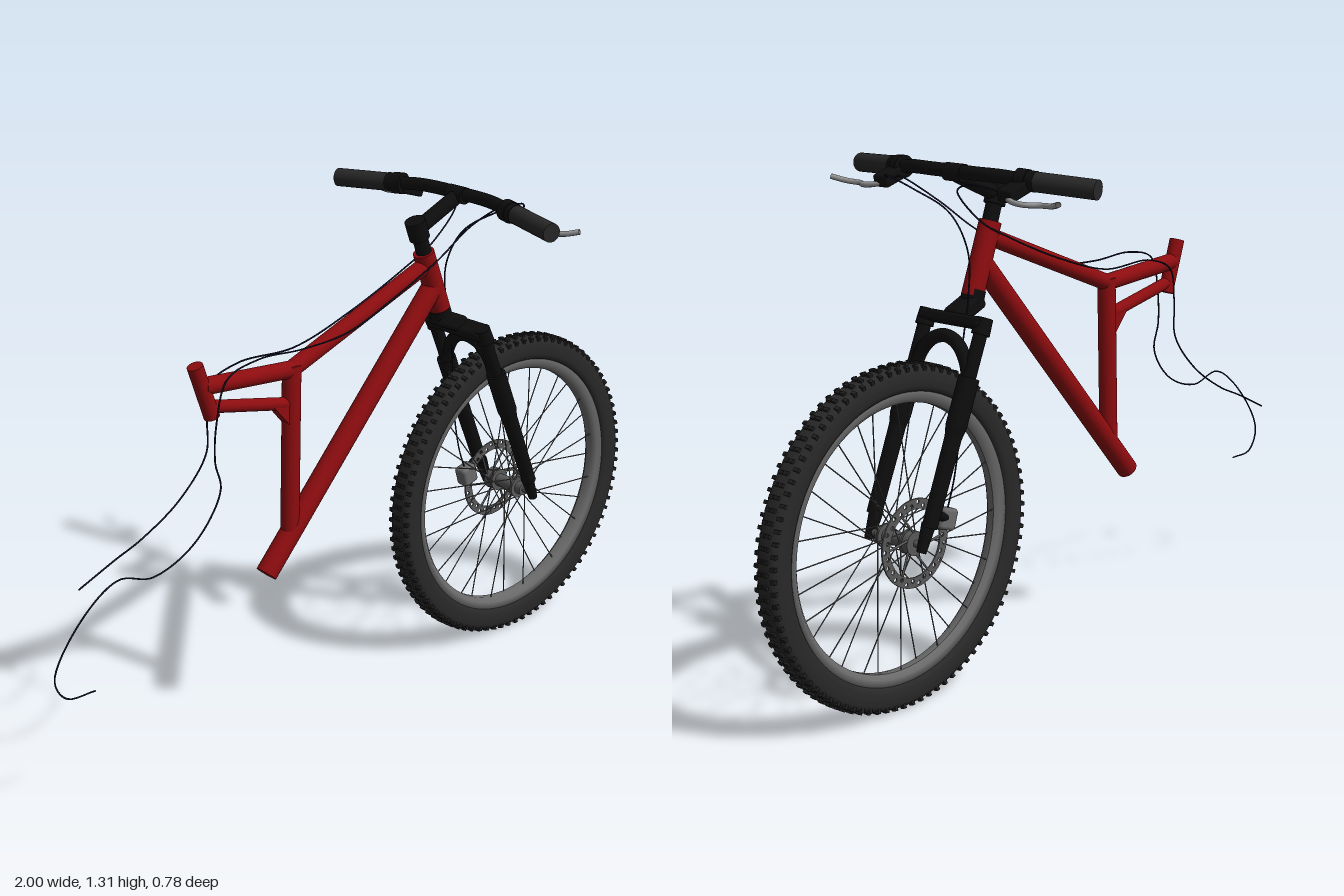
import * as THREE from 'three';
import { mergeGeometries } from 'three/addons/utils/BufferGeometryUtils.js';
import { RoundedBoxGeometry } from 'three/addons/geometries/RoundedBoxGeometry.js';

const mat = (color) => new THREE.MeshStandardMaterial({ color, side: THREE.DoubleSide });
const red = mat(0x8c0c0f), black = mat(0x0d0d0d), rubber = mat(0x282828), tread = mat(0x1e1e1e);
const rimGrey = mat(0x6a6a6a), steel = mat(0x585858), silver = mat(0x999999), cableMat = mat(0x14142a);
const V = (p) => new THREE.Vector3(...p);

export function createModel() {
  const model = new THREE.Group();
  const add = (name, geometry, material, parent = model) => {
    const mesh = new THREE.Mesh(geometry, material);
    mesh.name = name;
    parent.add(mesh);
    return mesh;
  };
  // Straight round bar from a to b
  const barGeo = (a, b, r1, r2 = r1, sides = 24) => {
    const A = V(a), B = V(b), d = B.clone().sub(A);
    const g = new THREE.CylinderGeometry(r2, r1, d.length(), sides);
    g.applyQuaternion(new THREE.Quaternion().setFromUnitVectors(V([0, 1, 0]), d.clone().normalize()));
    const m = A.add(B).multiplyScalar(0.5);
    return g.translate(m.x, m.y, m.z);
  };
  const bar = (name, a, b, r, material, r2 = r) => add(name, barGeo(a, b, r, r2), material);
  // Smooth bent tube through points
  const bent = (name, pts, r, material, seg = 60, sides = 12) =>
    add(name, new THREE.TubeGeometry(new THREE.CatmullRomCurve3(pts.map(V)), seg, r, sides), material);
  const box = (name, size, pos, tilt, material, radius = 0.006) => {
    const m = add(name, new RoundedBoxGeometry(...size, 2, radius), material);
    m.position.set(...pos);
    m.rotation.z = tilt;
  };

  // ---- Frame ----
  bar('headTube', [0.232, 1.155, 0], [0.298, 0.98, 0], 0.028, red);
  bar('topTube', [0.24, 1.12, 0], [-0.215, 0.942, 0], 0.022, red);
  bar('downTube', [0.268, 1.06, 0], [-0.305, 0.42, 0], 0.028, red);
  bar('seatTube', [-0.213, 0.955, 0], [-0.226, 0.5, 0], 0.024, red);
  bar('rearUpperTube', [-0.21, 0.942, 0], [-0.49, 0.962, 0], 0.022, red);
  bar('rearLowerTube', [-0.22, 0.855, 0], [-0.475, 0.908, 0], 0.016, red);
  bar('seatClampTube', [-0.512, 1.018, 0], [-0.465, 0.88, 0], 0.02, red);
  const gusset = new THREE.Shape([[-0.285, 0.865], [-0.215, 0.85], [-0.22, 0.78], [-0.238, 0.81]]
    .map((p) => new THREE.Vector2(...p)));
  add('seatTubeGusset', new THREE.ExtrudeGeometry(gusset, { depth: 0.03, bevelEnabled: false })
    .translate(0, 0, -0.015), red);

  // ---- Steerer and stem ----
  bar('headsetSpacers', [0.205, 1.235, 0], [0.235, 1.15, 0], 0.02, black);
  bar('stemClamp', [0.2, 1.243, 0], [0.218, 1.195, 0], 0.027, black);
  bar('stem', [0.215, 1.222, 0], [0.345, 1.28, 0], 0.02, black);
  bar('barClamp', [0.352, 1.286, -0.028], [0.352, 1.286, 0.028], 0.022, black);
  bar('lowerHeadsetCup', [0.291, 0.995, 0], [0.302, 0.965, 0], 0.029, black);

  // ---- Handlebar, grips, levers ----
  const half = [[0.29, 1.272, 0.385], [0.333, 1.283, 0.2], [0.346, 1.288, 0.14], [0.354, 1.289, 0.08]];
  const flip = ([x, y, z]) => [x, y, -z];
  bent('handlebar', [...half, [0.354, 1.289, 0], ...half.map(flip).reverse()], 0.017, black, 80, 16);
  for (const s of [1, -1]) {
    const P = (x, y, z) => [x, y, s * z];
    bar('grip', P(0.288, 1.272, 0.386), P(0.327, 1.281, 0.228), 0.024, rubber);
    bar('gripCollar', P(0.326, 1.281, 0.232), P(0.331, 1.282, 0.21), 0.025, black);
    bar('leverClamp', P(0.331, 1.281, 0.212), P(0.337, 1.283, 0.185), 0.028, black);
    box('leverBody', [0.075, 0.032, 0.045], P(0.37, 1.262, 0.202), -0.3, black);
    bent('brakeLever', [P(0.388, 1.252, 0.19), P(0.405, 1.243, 0.225), P(0.405, 1.239, 0.26),
      P(0.382, 1.238, 0.295), P(0.39, 1.241, 0.335), P(0.408, 1.25, 0.37)], 0.007, silver, 30, 10);
  }

  // ---- Suspension fork ----
  const legX = (y) => 0.36 + (0.935 - y) * 0.416;
  box('forkCrown', [0.055, 0.028, 0.2], [0.36, 0.932, 0], 0.39, black, 0.01);
  box('crownBridge', [0.1, 0.045, 0.055], [0.325, 0.955, 0], -0.4, black, 0.012);
  for (const s of [1, -1]) {
    const leg = (name, y1, y2, r1, r2, z = 0.093) =>
      bar(name, [legX(y1), y1, s * z], [legX(y2), y2, s * z], r1, black, r2);
    leg('crownCap', 0.908, 0.946, 0.023, 0.021);
    leg('stanchion', 0.78, 0.94, 0.017, 0.017);
    leg('lowerLegCollar', 0.7, 0.81, 0.026, 0.026);
    leg('lowerLegShoulder', 0.67, 0.7, 0.02, 0.026);
    leg('lowerLeg', 0.47, 0.68, 0.019, 0.021);
    leg('dropout', 0.413, 0.48, 0.012, 0.018, 0.088);
  }
  bent('forkArch', [[0.412, 0.78, 0.09], [0.405, 0.84, 0.078], [0.398, 0.883, 0.045], [0.394, 0.898, 0],
    [0.398, 0.883, -0.045], [0.405, 0.84, -0.078], [0.412, 0.78, -0.09]], 0.017, black, 40);

  // ---- Front wheel, built about its own axle ----
  const wheel = new THREE.Group();
  wheel.name = 'frontWheel';
  wheel.position.set(0.57, 0.43, 0);
  model.add(wheel);
  const ring = (name, profile, material) => add(name, new THREE.LatheGeometry(
    [...profile, profile[0]].map((p) => new THREE.Vector2(...p)), 96).rotateX(Math.PI / 2), material, wheel);
  const tyre = [];
  for (let i = 0; i < 24; i++) {
    const a = -Math.PI / 2 + (i / 24) * Math.PI * 2;
    const soft = (v) => Math.sign(v) * Math.abs(v) ** 0.65;
    tyre.push([0.389 + 0.034 * soft(Math.cos(a)), 0.034 * soft(Math.sin(a))]);
  }
  ring('tyre', tyre, rubber);
  ring('rim', [[0.331, -0.01], [0.342, -0.022], [0.366, -0.025], [0.366, 0.025], [0.342, 0.022], [0.331, 0.01]], rimGrey);

  // Low, closely set tread blocks: centre pairs alternating with shoulder pairs
  const knobs = [];
  for (let i = 0; i < 180; i++) {
    const a = (i / 180) * Math.PI * 2;
    for (const s of [1, -1]) {
      const g = new THREE.BoxGeometry(0.012, 0.0095, i % 2 ? 0.013 : 0.012);
      if (i % 2) g.translate(0.4225, 0, s * 0.0085);
      else g.rotateY(-s * 0.25).translate(0.416, 0, s * 0.027);
      knobs.push(g.rotateZ(a));
    }
  }
  add('treadBlocks', mergeGeometries(knobs), tread, wheel);

  // Hub, axle and tangent spokes
  add('axle', barGeo([0, 0, -0.09], [0, 0, 0.09], 0.009), steel, wheel);
  add('hub', barGeo([0, 0, -0.06], [0, 0, 0.06], 0.018), steel, wheel);
  for (const s of [1, -1]) {
    add('hubFlange', barGeo([0, 0, s * 0.034], [0, 0, s * 0.041], 0.03), steel, wheel);
  }
  const spokes = [];
  for (let i = 0; i < 32; i++) {
    const a = (i / 32) * Math.PI * 2, side = i % 2 ? 1 : -1;
    const b = a + (i % 4 < 2 ? 1.2 : -1.2);
    spokes.push(barGeo([0.027 * Math.cos(b), 0.027 * Math.sin(b), side * 0.038],
      [0.34 * Math.cos(a), 0.34 * Math.sin(a), side * 0.006], 0.0016, 0.0016, 6));
  }
  add('spokes', mergeGeometries(spokes), steel, wheel);

  // Brake disc: drilled ring on six arms
  const disc = new THREE.Shape().absarc(0, 0, 0.11, 0, Math.PI * 2);
  const hole = (x, y, r) => disc.holes.push(new THREE.Path().absarc(x, y, r, 0, Math.PI * 2, true));
  hole(0, 0, 0.084);
  for (let i = 0; i < 30; i++) {
    const a = (i / 30) * Math.PI * 2, r = i % 2 ? 0.093 : 0.101;
    hole(r * Math.cos(a), r * Math.sin(a), 0.005);
  }
  add('brakeDisc', new THREE.ExtrudeGeometry(disc, { depth: 0.004, bevelEnabled: false, curveSegments: 24 })
    .translate(0, 0, -0.062), steel, wheel);
  const arms = [];
  for (let i = 0; i < 6; i++) {
    const a = (i / 6) * Math.PI * 2;
    arms.push(barGeo([0.02 * Math.cos(a + 0.7), 0.02 * Math.sin(a + 0.7), -0.06],
      [0.088 * Math.cos(a), 0.088 * Math.sin(a), -0.06], 0.003, 0.003, 8));
  }
  add('discArms', mergeGeometries(arms), steel, wheel);
  add('discCarrier', barGeo([0, 0, -0.064], [0, 0, -0.045], 0.03), steel, wheel);
  box('brakeCaliper', [0.05, 0.055, 0.04], [0.465, 0.468, -0.06], 0.3, rimGrey, 0.01);
  bar('caliperMount', [0.475, 0.475, -0.07], [0.545, 0.5, -0.085], 0.011, black);

  // ---- Cables ----
  const cable = (name, pts) => bent(name, pts, 0.0022, cableMat, 160, 6);
  cable('frontBrakeCable', [[0.39, 1.258, 0.19], [0.435, 1.275, 0.15], [0.41, 1.245, 0.085], [0.365, 1.19, 0.01],
    [0.345, 1.1, -0.03], [0.355, 0.99, -0.04], [0.39, 0.86, -0.05], [0.41, 0.7, -0.062], [0.43, 0.56, -0.058],
    [0.46, 0.48, -0.06]]);
  cable('rearBrakeCable', [[0.39, 1.258, -0.19], [0.43, 1.275, -0.13], [0.4, 1.25, -0.05], [0.3, 1.165, -0.033],
    [0.2, 1.115, -0.032], [0, 1.035, -0.03], [-0.18, 0.985, -0.028], [-0.36, 0.985, -0.028], [-0.44, 0.95, -0.035],
    [-0.445, 0.86, -0.045], [-0.45, 0.77, -0.045], [-0.53, 0.67, -0.05], [-0.64, 0.595, -0.06], [-0.72, 0.56, -0.065],
    [-0.82, 0.51, -0.075]]);
  cable('gearCable', [[0.38, 1.26, 0.18], [0.41, 1.27, 0.12], [0.36, 1.215, 0.05], [0.25, 1.135, 0.032],
    [0.1, 1.065, 0.03], [-0.05, 1.01, 0.03], [-0.2, 0.998, 0.028], [-0.34, 1.003, 0.028], [-0.44, 0.975, 0.03],
    [-0.487, 0.88, 0.045], [-0.498, 0.785, 0.05], [-0.487, 0.715, 0.055], [-0.58, 0.615, 0.075], [-0.72, 0.567, 0.088],
    [-0.82, 0.588, 0.085], [-0.925, 0.508, 0.075], [-0.997, 0.385, 0.07], [-0.965, 0.327, 0.068], [-0.885, 0.32, 0.068]]);

  return model;
}
